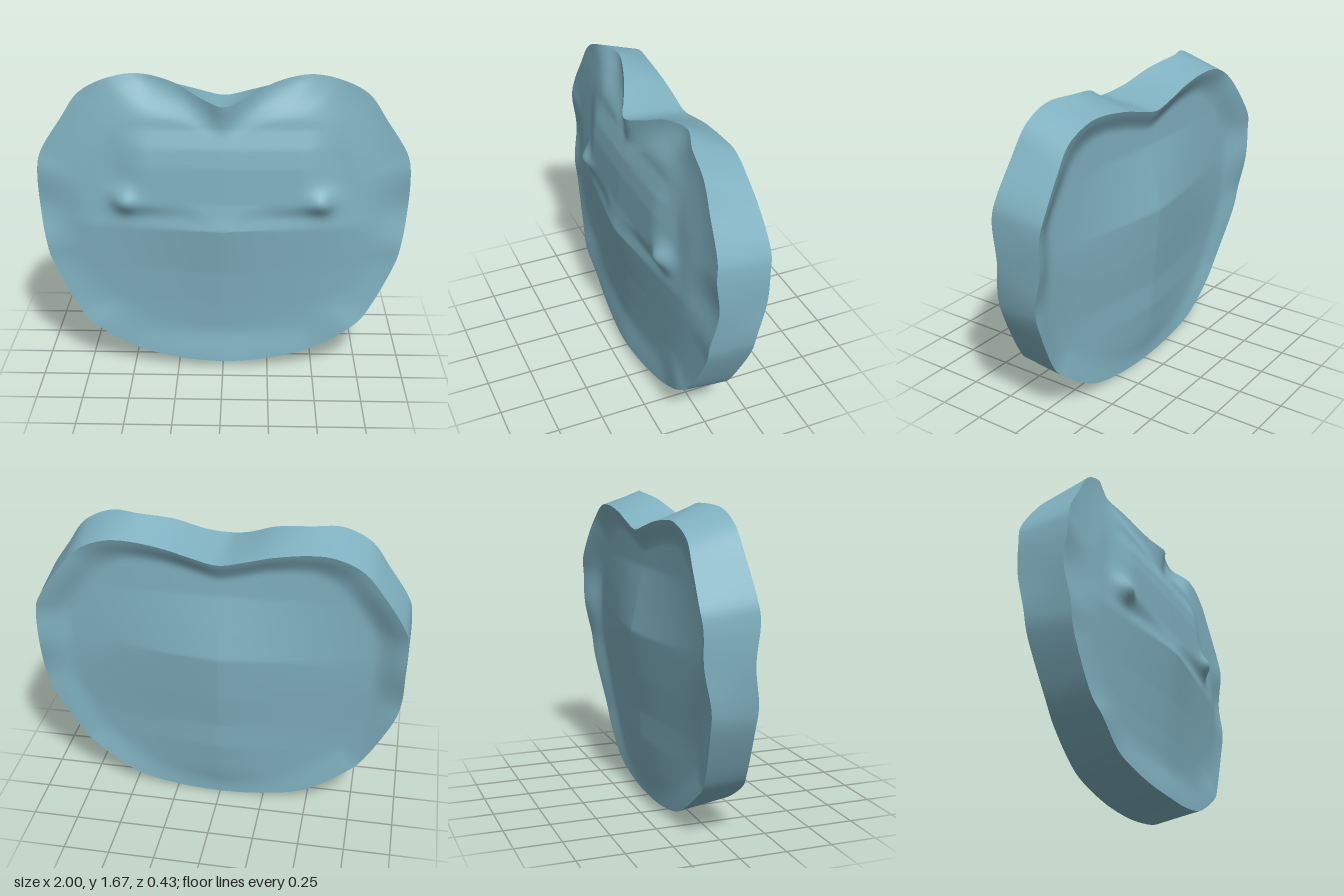
import * as THREE from 'three';

// Half outline from top notch to bottom: front rim x, y, z, then back rim x, y, z
const RIM = [
  [0, 1.53, 0.15, 0, 1.5, -0.19],
  [0.12, 1.565, 0.1, 0.14, 1.53, -0.19],
  [0.27, 1.635, 0.04, 0.28, 1.565, -0.185],
  [0.45, 1.668, 0, 0.46, 1.59, -0.18],
  [0.61, 1.655, 0.05, 0.6, 1.585, -0.185],
  [0.76, 1.58, 0.06, 0.74, 1.52, -0.18],
  [0.86, 1.44, 0.07, 0.85, 1.4, -0.195],
  [0.97, 1.27, 0.08, 0.96, 1.24, -0.205],
  [0.996, 1.15, 0.09, 0.99, 1.13, -0.195],
  [0.996, 0.95, 0.07, 0.99, 0.95, -0.19],
  [0.97, 0.75, 0.1, 0.985, 0.75, -0.15],
  [0.93, 0.6, 0.1, 0.945, 0.6, -0.14],
  [0.8, 0.345, 0.12, 0.81, 0.33, -0.11],
  [0.7, 0.245, 0.14, 0.71, 0.225, -0.115],
  [0.54, 0.14, 0.135, 0.55, 0.11, -0.12],
  [0.4, 0.09, 0.145, 0.42, 0.05, -0.12],
  [0.2, 0.055, 0.16, 0.2, 0.01, -0.12],
  [0, 0.045, 0.17, 0, 0, -0.12],
];
const COLS = 170, ROWS = 48, CENTRE_Y = 0.85;
const { smoothstep, lerp } = THREE.MathUtils;

// Closed, mirrored rim loop
function rimLoop(k) {
  const right = RIM.map(r => new THREE.Vector3(r[k], r[k + 1], r[k + 2]));
  const left = right.slice(1, -1).reverse().map(p => new THREE.Vector3(-p.x, p.y, p.z));
  const curve = new THREE.CatmullRomCurve3([...right, ...left], true, 'catmullrom', 0.5);
  return Array.from({ length: COLS }, (_, j) => curve.getPoint(j / COLS));
}

// Smooth interpolation through [y, value] pairs
function profile(pairs, y) {
  if (y <= pairs[0][0]) return pairs[0][1];
  for (let i = 1; i < pairs.length; i++) {
    const [y0, v0] = pairs[i - 1], [y1, v1] = pairs[i];
    if (y <= y1) return lerp(v0, v1, (y - y0) / (y1 - y0));
  }
  return pairs[pairs.length - 1][1];
}

const CHEEK = [[0, 0.14], [0.2, 0.142], [0.4, 0.157], [0.6, 0.178], [0.86, 0.216], [0.95, 0.195], [1.2, 0.14], [1.6, 0.07]];
const BROW = [[0.85, 0.212], [1, 0.188], [1.2, 0.176], [1.3, 0.16], [1.4, 0.125], [1.55, 0.1]];
const RIDGE = [[0, -0.12], [0.2, -0.152], [0.35, -0.172], [0.5, -0.177], [0.7, -0.2], [0.95, -0.222], [1.1, -0.19], [1.3, -0.145], [1.5, -0.135]];

// Front relief: sloping lower face, raised brow with a ledge and two corner bumps
function frontZ(x, y) {
  const ax = Math.abs(x);
  const base = lerp(profile(CHEEK, y), 0.085, Math.min(1, Math.sqrt(ax * ax + 0.004) - 0.06));
  const ledge = 0.86 + 0.05 * smoothstep(ax, 0, 0.25);
  const mask = (1 - smoothstep(ax, 0.4, 0.63)) * smoothstep(y, ledge, ledge + 0.1);
  const bump = 0.05 * Math.exp(-(((ax - 0.53) / 0.07) ** 2) - ((y - 1.01) / 0.065) ** 2);
  return lerp(base, profile(BROW, y) - 0.02 * ax, mask) + bump;
}

// Back relief: shallow dish with a soft upright ridge
function backZ(x, y) {
  const dish = lerp(-0.085, -0.125, smoothstep(y, 0.3, 1));
  return lerp(profile(RIDGE, y), dish, smoothstep(Math.abs(x), -0.15, 0.85));
}

// Wrapped grid of points; collapse merges the first row into one point
function gridMesh(name, rows, point, flip, collapse, material) {
  const pos = [], index = [];
  for (let i = 0; i <= rows; i++)
    for (let j = 0; j < COLS; j++) pos.push(...point(i / rows, j));
  const id = (i, j) => (collapse && i === 0 ? 0 : i * COLS + (j % COLS));
  const tri = (a, b, c) => {
    if (a === b || b === c || a === c) return;
    index.push(...(flip ? [a, c, b] : [a, b, c]));
  };
  for (let i = 0; i < rows; i++)
    for (let j = 0; j < COLS; j++) {
      tri(id(i, j), id(i + 1, j), id(i + 1, j + 1));
      tri(id(i, j), id(i + 1, j + 1), id(i, j + 1));
    }
  const geo = new THREE.BufferGeometry();
  geo.setAttribute('position', new THREE.Float32BufferAttribute(pos, 3));
  geo.setIndex(index);
  geo.computeVertexNormals();
  const mesh = new THREE.Mesh(geo, material);
  mesh.name = name;
  return mesh;
}

// Face that spreads from the centre and eases into its rim
function face(name, rim, field, easeStart, flip, material) {
  const point = (t, j) => {
    const p = rim[j];
    const x = p.x * t, y = lerp(CENTRE_Y, p.y, t);
    return [x, y, lerp(field(x, y), p.z, smoothstep(t, easeStart, 1.02))];
  };
  // The last row lands exactly on the rim
  const exact = (t, j) => (t === 1 ? rim[j].toArray() : point(t, j));
  return gridMesh(name, ROWS, exact, flip, true, material);
}

export function createModel() {
  const group = new THREE.Group();
  group.name = 'reliefPlate';
  const blue = new THREE.MeshStandardMaterial({ color: 0x7fb0bf });
  blue.name = 'dustyBlue';

  const front = rimLoop(0), back = rimLoop(3);
  group.add(face('frontRelief', front, frontZ, 0.72, true, blue));
  group.add(face('backDish', back, backZ, 0.82, false, blue));
  // Side wall joining both rims
  group.add(gridMesh('sideWall', 4, (t, j) => front[j].clone().lerp(back[j], t).toArray(), true, false, blue));
  return group;
}
